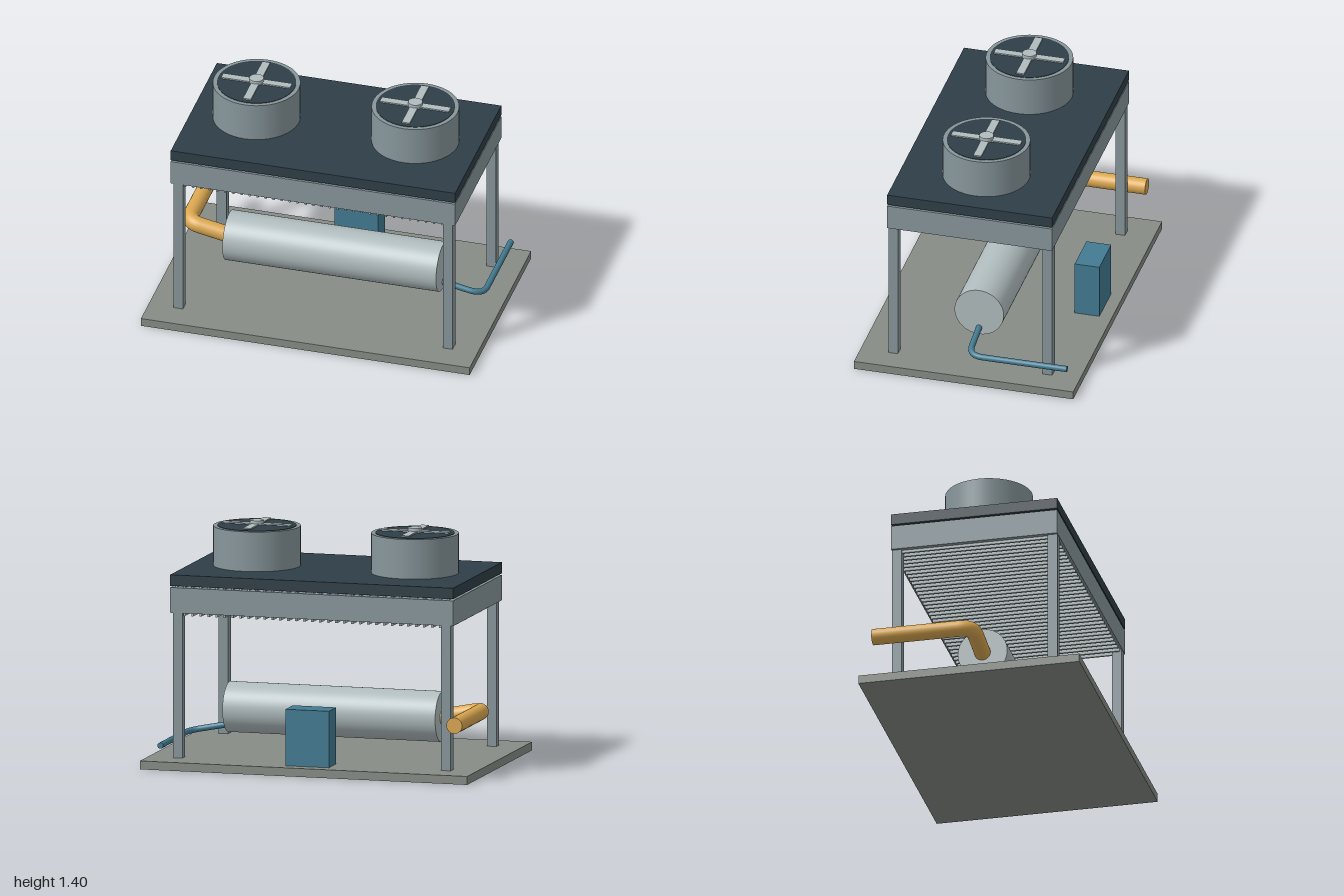
import * as THREE from 'three';

const mat = (color) => new THREE.MeshStandardMaterial({ color });
const steel = mat(0x87969b), dark = mat(0x2f3f47), pale = mat(0xb0bcbe);
const concrete = mat(0x868c85), orange = mat(0xdba851), blue = mat(0x427b92);

export function createModel() {
  const model = new THREE.Group();
  model.name = 'airCooledCondenser';

  const add = (name, geometry, material, x, y, z, parent = model) => {
    const mesh = new THREE.Mesh(geometry, material);
    mesh.name = name;
    mesh.position.set(x, y, z);
    parent.add(mesh);
    return mesh;
  };
  // Box given by its size, its bottom height and its centre in x and z
  const box = (name, w, h, d, material, x, y0, z, parent) =>
    add(name, new THREE.BoxGeometry(w, h, d), material, x, y0 + h / 2, z, parent);
  const disc = (name, r, h, material, x, y0, z, parent) =>
    add(name, new THREE.CylinderGeometry(r, r, h, 48), material, x, y0 + h / 2, z, parent);

  // Base slab and four legs
  box('baseSlab', 2, 0.05, 1.33, concrete, 0, 0, 0);
  for (const x of [-0.82, 0.82])
    for (const z of [-0.468, 0.468])
      box('leg', 0.058, 0.86, 0.058, steel, x, 0.05, z);

  // Coil housing with fins showing above and below it, and the top deck
  box('coilHousing', 1.73, 0.15, 1, steel, 0, 0.91, 0);
  const fins = new THREE.Group();
  fins.name = 'coilFins';
  model.add(fins);
  const finCount = 35;
  for (let i = 0; i < finCount; i++) {
    const x = -0.83 + (1.66 * i) / (finCount - 1);
    box('fin', 0.012, 0.18, 0.975, pale, x, 0.893, 0, fins);
  }
  box('topDeck', 1.73, 0.065, 1, dark, 0, 1.07, 0);

  // Two fans: shroud, dark opening, crossed blades and hub
  for (const x of [-0.483, 0.483]) {
    const fan = new THREE.Group();
    fan.name = 'fan';
    fan.position.x = x;
    model.add(fan);
    disc('shroud', 0.257, 0.235, steel, 0, 1.135, 0, fan);
    disc('fanOpening', 0.232, 0.006, dark, 0, 1.367, 0, fan);
    box('blade', 0.42, 0.008, 0.048, pale, 0, 1.376, 0, fan);
    box('blade', 0.048, 0.008, 0.42, pale, 0, 1.3762, 0, fan);
    disc('hub', 0.042, 0.032, pale, 0, 1.37, 0, fan);
  }

  // Horizontal receiver drum
  const drum = add('receiverDrum', new THREE.CylinderGeometry(0.149, 0.149, 1.3, 64), pale, 0, 0.287, 0);
  drum.rotation.z = Math.PI / 2;

  // Control cabinet at the back
  box('controlCabinet', 0.265, 0.335, 0.15, blue, 0, 0.05, -0.515);

  // Pipes leave the drum end, turn a rounded corner and run to the back
  const pipe = (name, start, corner, radius, bend, material) => {
    const a = new THREE.Vector3(...start), c = new THREE.Vector3(...corner);
    const end = new THREE.Vector3(c.x, c.y, -0.6);
    const before = c.clone().lerp(a, bend / c.distanceTo(a));
    const after = c.clone().lerp(end, bend / c.distanceTo(end));
    const path = new THREE.CurvePath();
    path.add(new THREE.LineCurve3(a, before));
    path.add(new THREE.QuadraticBezierCurve3(before, c, after));
    path.add(new THREE.LineCurve3(after, end));
    add(name, new THREE.TubeGeometry(path, 80, radius, 24), material, 0, 0, 0);
    const cap = add(name + 'End', new THREE.CircleGeometry(radius, 24), material, end.x, end.y, end.z);
    cap.rotation.y = Math.PI;
  };
  pipe('vapourPipe', [-0.63, 0.283, 0], [-0.902, 0.336, 0], 0.048, 0.08, orange);
  pipe('liquidPipe', [0.63, 0.187, 0], [0.895, 0.135, 0], 0.018, 0.09, blue);

  return model;
}
